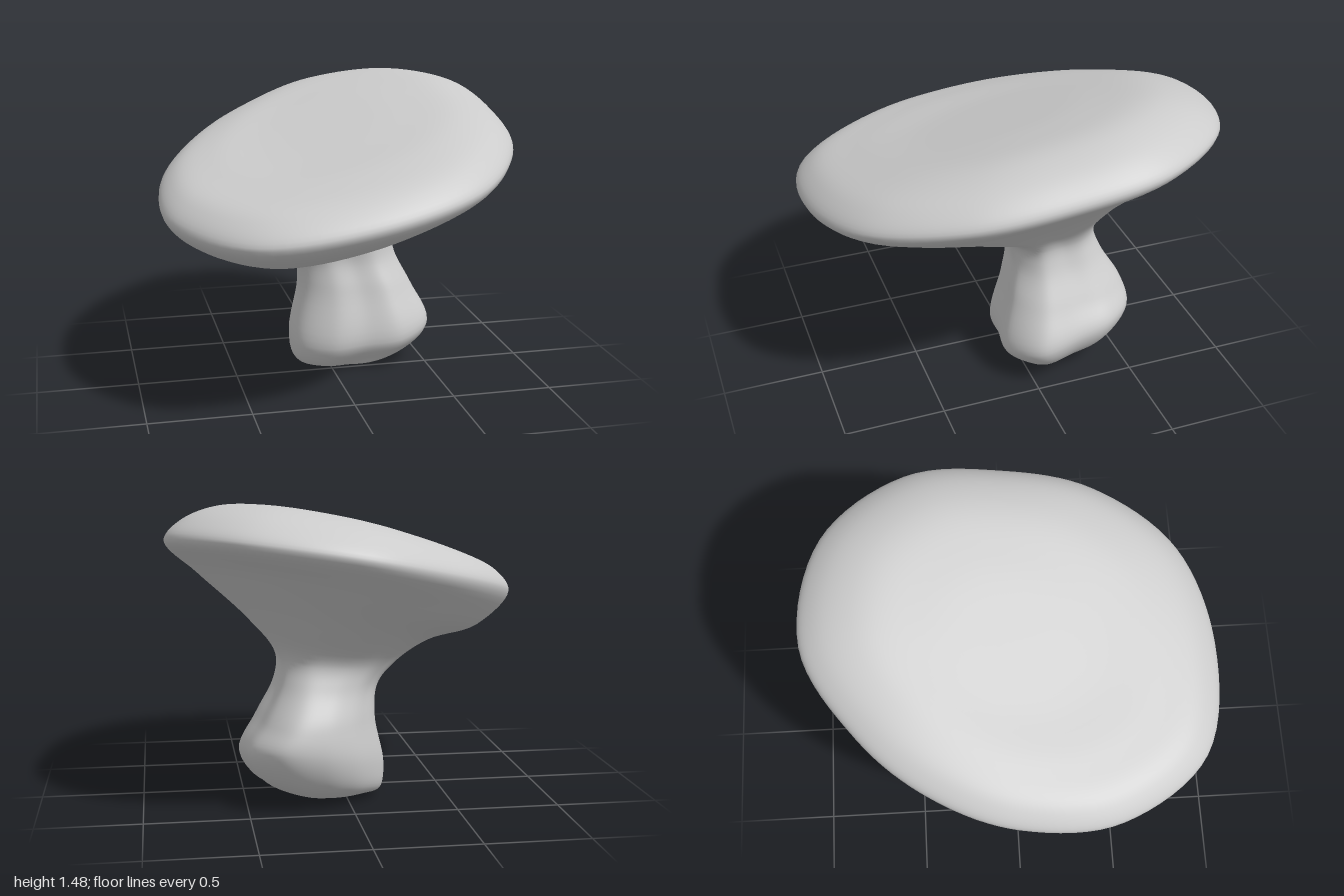
import * as THREE from 'three';

const AROUND = 96, ALONG = 91;

// Closed outline from radii given every 30 degrees, starting at +x and turning towards +z
function outline(radii) {
  const pts = radii.map((r, i) => {
    const a = (i / radii.length) * Math.PI * 2;
    return new THREE.Vector3(r * Math.cos(a), 0, r * Math.sin(a));
  });
  return new THREE.CatmullRomCurve3(pts, true, 'catmullrom', 0.5);
}

// Both outlines are about one unit in radius
const footOutline = outline([1.0, 1.2, 1.12, 0.92, 1.0, 1.06, 0.99, 0.84, 0.84, 0.93, 1.1, 1.06]);
const capOutline = outline([0.865, 0.9, 0.97, 0.995, 1.055, 0.967, 0.862, 0.82, 0.86, 0.993, 1.02, 0.955]);

// Rings from the foot up: centre, half sizes, share of cap outline, and a tilted plane y + ax*x + az*z
const rings = [
  { c: [0.05, -0.14], s: [0, 0], cap: 0, y: 0, ax: 0, az: 0 },
  { c: [0.08, -0.16], s: [0.18, 0.16], cap: 0, y: 0.003, ax: 0.05, az: -0.06 },
  { c: [0.13, -0.21], s: [0.3, 0.26], cap: 0, y: 0.03, ax: 0.13, az: -0.15 },
  { c: [0.155, -0.215], s: [0.345, 0.34], cap: 0, y: 0.15, ax: 0.13, az: -0.2 },
  { c: [0.14, -0.235], s: [0.28, 0.3], cap: 0, y: 0.42, ax: 0, az: 0 },
  { c: [0.09, -0.21], s: [0.25, 0.232], cap: 0.1, y: 0.58, ax: 0.05, az: 0 },
  { c: [0.04, -0.18], s: [0.3, 0.235], cap: 0.3, y: 0.685, ax: 0.08, az: -0.04 },
  // underside of the cap
  { c: [0.015, -0.08], s: [0.5, 0.48], cap: 0.7, y: 0.81, ax: 0.15, az: -0.11, floor: 0.73 },
  { c: [0.01, -0.02], s: [0.82, 0.79], cap: 1, y: 0.963, ax: 0.215, az: -0.16, floor: 0.75 },
  // rim and top of the cap
  { c: [0, 0], s: [1, 1], cap: 1, y: 1.125, ax: 0.16, az: -0.135 },
  { c: [0, 0], s: [0.91, 0.91], cap: 1, y: 1.228, ax: 0.165, az: -0.135 },
  { c: [0, 0], s: [0.7, 0.7], cap: 1, y: 1.293, ax: 0.205, az: -0.168 },
  { c: [0, 0], s: [0.4, 0.4], cap: 1, y: 1.305, ax: 0.24, az: -0.19 },
  { c: [0, 0], s: [0, 0], cap: 1, y: 1.307, ax: 0, az: 0 },
];

function ringPoint(ring, t) {
  const p = footOutline.getPoint(t).lerp(capOutline.getPoint(t), ring.cap);
  const x = ring.c[0] + p.x * ring.s[0];
  const z = ring.c[1] + p.z * ring.s[1];
  let y = ring.y + ring.ax * x + ring.az * z;
  // keep the low corner of the underside softly above its floor
  if (ring.floor) y = (y + ring.floor + Math.hypot(y - ring.floor, 0.04)) / 2;
  return new THREE.Vector3(x, y, z);
}

// Smooth skin: one curve from foot to cap centre for every direction
function mushroomGeometry() {
  const positions = [], index = [];
  for (let i = 0; i < AROUND; i++) {
    const curve = new THREE.CatmullRomCurve3(rings.map((r) => ringPoint(r, i / AROUND)));
    for (let j = 0; j <= ALONG; j++) {
      const p = curve.getPoint(j / ALONG);
      positions.push(p.x, Math.max(p.y, 0), p.z);
    }
  }
  const at = (i, j) => (i % AROUND) * (ALONG + 1) + j;
  // the two ends share one vertex each
  const id = (i, j) => (j === 0 || j === ALONG ? at(0, j) : at(i, j));
  for (let i = 0; i < AROUND; i++) {
    for (let j = 0; j < ALONG; j++) {
      const a = id(i, j), b = id(i, j + 1), c = id(i + 1, j + 1), d = id(i + 1, j);
      if (j < ALONG - 1) index.push(a, b, c);
      else index.push(a, b, d);
      if (j > 0 && j < ALONG - 1) index.push(a, c, d);
    }
  }
  const geometry = new THREE.BufferGeometry();
  geometry.setAttribute('position', new THREE.Float32BufferAttribute(positions, 3));
  geometry.setIndex(index);
  geometry.computeVertexNormals();
  return geometry;
}

export function createModel() {
  const group = new THREE.Group();
  group.name = 'mushroom';
  const body = new THREE.Mesh(mushroomGeometry(), new THREE.MeshStandardMaterial({ color: 0xcccccc }));
  body.name = 'stemAndCap';
  group.add(body);
  return group;
}
